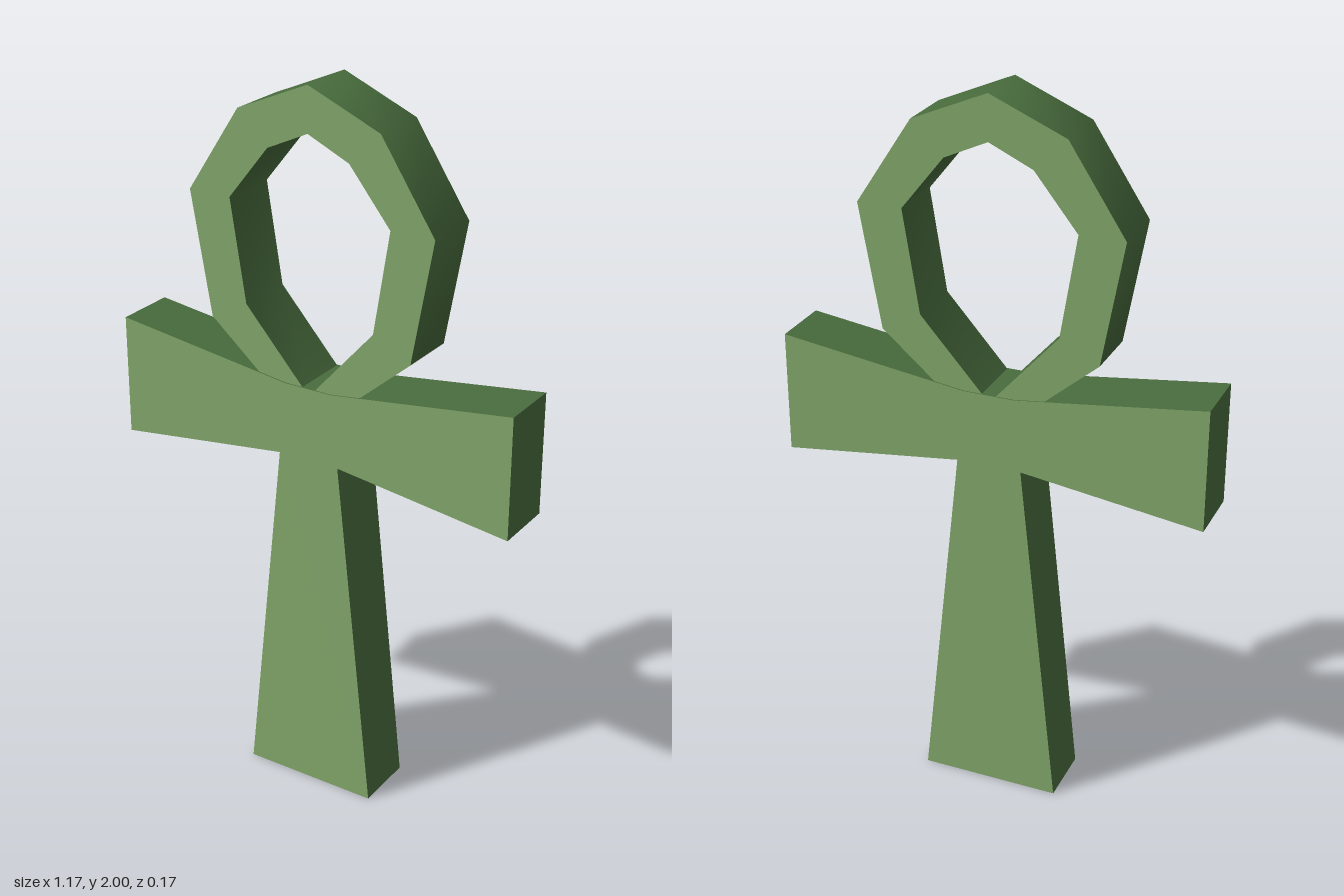
import * as THREE from 'three';

const faceGreen = new THREE.MeshStandardMaterial({ color: 0x84a96c });
const edgeGreen = new THREE.MeshStandardMaterial({ color: 0x486c3d });
faceGreen.name = 'light leaf green';
edgeGreen.name = 'dark leaf green';

const BODY_DEPTH = 0.173;
const LOOP_DEPTH = 0.166;

// Mirrors a right-hand outline (listed bottom to top) into a closed counter-clockwise one.
function mirrored(half) {
  const left = half.filter(([x]) => x > 0).reverse().map(([x, y]) => [-x, y]);
  return [...half, ...left].map(([x, y]) => new THREE.Vector2(x, y));
}

// Straight slab with light faces and dark edges.
function slab(name, half) {
  const geo = new THREE.ExtrudeGeometry(new THREE.Shape(mirrored(half)), { depth: BODY_DEPTH, bevelEnabled: false });
  geo.translate(0, 0, -BODY_DEPTH / 2);
  const mesh = new THREE.Mesh(geo, [faceGreen, edgeGreen]);
  mesh.name = name;
  return mesh;
}

// Smooth-shaded wall following an outline; the seam at its start stays sharp.
function wall(name, outline) {
  const points = [...outline, outline[0]];
  const positions = [], index = [];
  points.forEach((p, i) => {
    positions.push(p.x, p.y, LOOP_DEPTH / 2, p.x, p.y, -LOOP_DEPTH / 2);
    if (i < points.length - 1) {
      const a = i * 2;
      index.push(a, a + 1, a + 3, a, a + 3, a + 2);
    }
  });
  const geo = new THREE.BufferGeometry();
  geo.setAttribute('position', new THREE.Float32BufferAttribute(positions, 3));
  geo.setIndex(index);
  geo.computeVertexNormals();
  const mesh = new THREE.Mesh(geo, edgeGreen);
  mesh.name = name;
  return mesh;
}

// Faceted teardrop loop: front and back faces plus outer and inner walls.
function makeLoop() {
  const loop = new THREE.Group();
  loop.name = 'loop';
  const outer = mirrored([[0, 1.09], [0.298, 1.345], [0.358, 1.68], [0.205, 1.913], [0, 2]]);
  const inner = mirrored([[0, 1.188], [0.19, 1.402], [0.235, 1.68], [0.118, 1.826], [0, 1.88]]);
  const shape = new THREE.Shape(outer);
  shape.holes.push(new THREE.Path(inner));
  for (const side of [1, -1]) {
    const face = new THREE.Mesh(new THREE.ShapeGeometry(shape), faceGreen);
    face.name = side > 0 ? 'loopFrontFace' : 'loopBackFace';
    face.position.z = side * LOOP_DEPTH / 2;
    if (side < 0) face.rotation.y = Math.PI;
    loop.add(face);
  }
  // The inner outline runs the other way so its wall faces the opening.
  const innerReversed = [inner[0], ...inner.slice(1).reverse()];
  loop.add(wall('loopOuterWall', outer), wall('loopInnerWall', innerReversed));
  return loop;
}

export function createModel() {
  const model = new THREE.Group();
  model.name = 'loopedCross';
  model.add(
    slab('stem', [[0.195, 0], [0.088, 1.02]]),
    slab('crossbar', [[0.085, 1.007], [0.587, 0.942], [0.587, 1.279], [0.07, 1.21]]),
    makeLoop()
  );
  return model;
}
